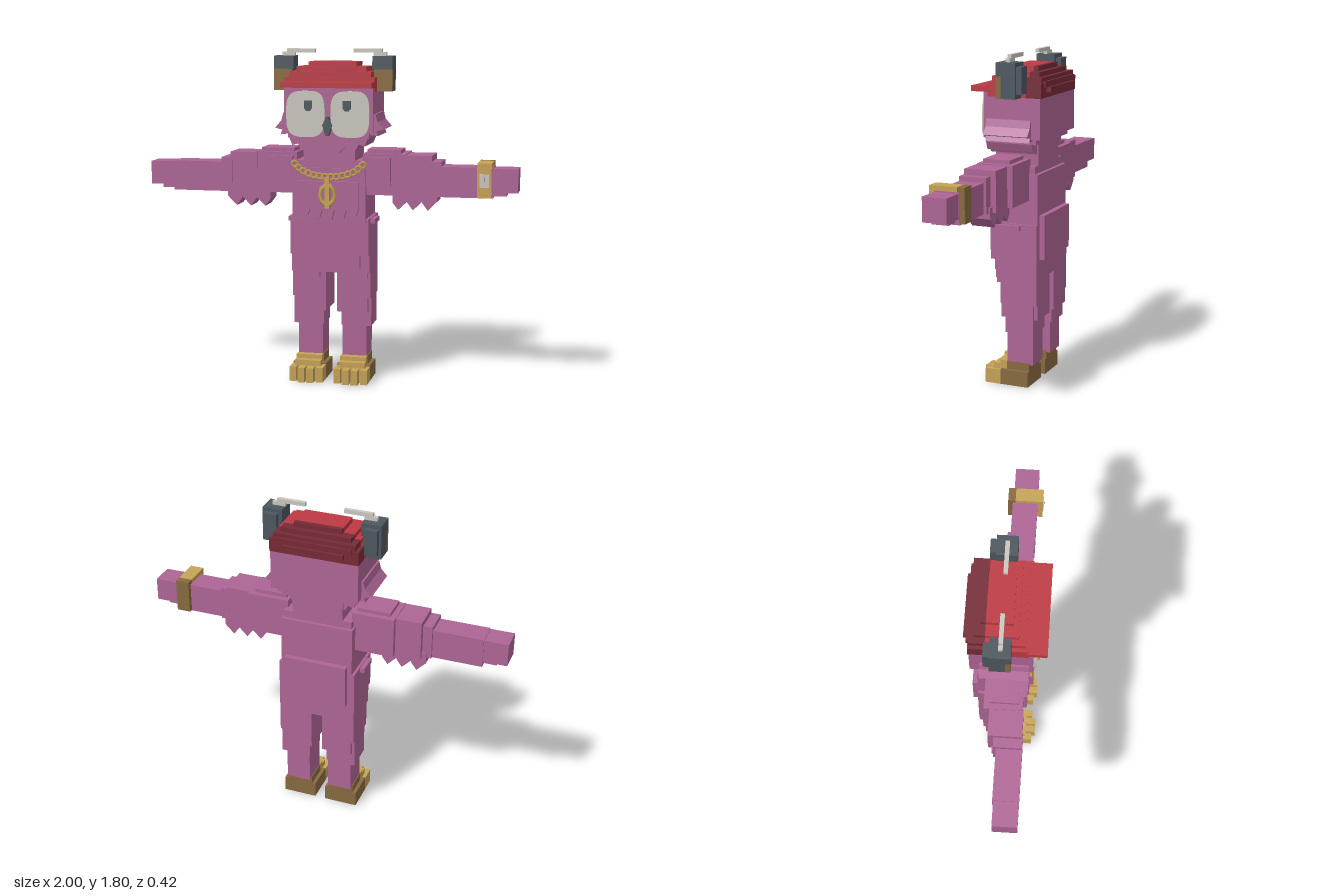
import * as THREE from 'three';

const mat = (name, color) => {
  const m = new THREE.MeshStandardMaterial({ color });
  m.name = name;
  return m;
};

export function createModel() {
  const root = new THREE.Group();
  root.name = 'owlFigure';
  const plum = mat('plum feathers', 0xae6595);
  const red = mat('cap red', 0xbd3943);
  const darkRed = mat('cap dark red', 0x762b37);
  const gold = mat('gold', 0xc6a356);
  const brown = mat('brown', 0x886a40);
  const slate = mat('slate', 0x4d575f);
  const ivory = mat('ivory', 0xcbc7be);

  const group = (name) => {
    const g = new THREE.Group();
    g.name = name;
    root.add(g);
    return g;
  };
  const add = (parent, name, geo, material) => {
    const m = new THREE.Mesh(geo, material);
    m.name = name;
    parent.add(m);
    return m;
  };
  // box given by its limits on each axis
  const box = (parent, name, material, x0, x1, y0, y1, z0, z1) => {
    const a = Math.min(x0, x1), b = Math.max(x0, x1);
    const m = add(parent, name, new THREE.BoxGeometry(b - a, y1 - y0, z1 - z0), material);
    m.position.set((a + b) / 2, (y0 + y1) / 2, (z0 + z1) / 2);
    return m;
  };
  // flat outline in x and y, extruded from z0 to z1
  const plate = (parent, name, material, pts, z0, z1) => {
    const shape = new THREE.Shape(pts.map(([x, y]) => new THREE.Vector2(x, y)));
    const geo = new THREE.ExtrudeGeometry(shape, { depth: z1 - z0, bevelEnabled: false });
    geo.translate(0, 0, z0);
    return add(parent, name, geo, material);
  };
  const mirrored = (pts) => [...pts, ...pts.map(([x, y]) => [-x, y]).reverse()];

  // torso in stepped blocks
  const body = group('body');
  box(body, 'chest', plum, -0.2, 0.2, 0.88, 1.17, -0.15, 0.125);
  box(body, 'upperChest', plum, -0.19, 0.19, 1.1, 1.21, -0.13, 0.115);
  box(body, 'belly', plum, -0.215, 0.215, 0.7, 0.9, -0.15, 0.115);
  box(body, 'lowerBelly', plum, -0.165, 0.165, 0.63, 0.72, -0.14, 0.113);
  box(body, 'hips', plum, -0.215, 0.215, 0.6, 0.72, -0.15, 0.085);
  box(body, 'backPlate', plum, -0.175, 0.175, 0.71, 0.95, -0.18, -0.14);
  box(body, 'neck', plum, -0.14, 0.14, 1.15, 1.36, -0.13, 0.115);
  for (const s of [-1, 1]) box(body, 'hipTuft', plum, 0.19 * s, 0.24 * s, 0.87, 0.895, -0.06, 0.06);

  // chest feathers with a scalloped hem
  const hem = [[0.165, 1.1], [-0.165, 1.1]];
  for (let i = 0; i < 5; i++) {
    const c = -0.132 + i * 0.066, low = 0.88 + Math.abs(i - 2) * 0.012;
    hem.push([c - 0.033, 0.95], [c - 0.02, low + 0.015], [c, low], [c + 0.02, low + 0.015]);
  }
  hem.push([0.165, 0.95]);
  plate(body, 'chestFeathers', plum, hem, 0.12, 0.145);

  // legs and feet
  for (const s of [-1, 1]) {
    const leg = group(s > 0 ? 'leftLeg' : 'rightLeg');
    box(leg, 'thigh', plum, 0.03 * s, 0.215 * s, 0.46, 0.7, -0.15, 0.06);
    box(leg, 'thighFront', plum, 0.06 * s, 0.2 * s, 0.57, 0.66, 0, 0.085);
    box(leg, 'knee', plum, 0.03 * s, 0.2 * s, 0.38, 0.47, -0.15, 0.06);
    box(leg, 'calf', plum, 0.05 * s, 0.215 * s, 0.3, 0.46, -0.13, 0.03);
    box(leg, 'shin', plum, 0.055 * s, 0.19 * s, 0.12, 0.4, -0.12, 0.03);
    box(leg, 'heel', brown, 0.03 * s, 0.215 * s, 0, 0.085, -0.1, 0.06);
    box(leg, 'ankle', brown, 0.05 * s, 0.195 * s, 0.08, 0.13, -0.1, 0.03);
    box(leg, 'ankleFront', gold, 0.05 * s, 0.195 * s, 0.08, 0.132, 0.03, 0.07);
    box(leg, 'instep', gold, 0.05 * s, 0.195 * s, 0.05, 0.11, 0.06, 0.11);
    box(leg, 'footFront', gold, 0.03 * s, 0.215 * s, 0, 0.08, 0.06, 0.115);
    for (let i = 0; i < 4; i++) {
      const x = 0.03 + i * 0.049;
      box(leg, 'toe', gold, x * s, (x + 0.038) * s, 0, 0.08, 0.11, i === 1 || i === 2 ? 0.17 : 0.15);
    }
  }

  // arms: [x0, x1, y0, y1, z0, z1] per block, held straight out
  const armBlocks = [
    [0.18, 0.41, 1.03, 1.25, -0.1, 0.1], [0.2, 0.38, 1.06, 1.27, -0.07, 0.08],
    [0.4, 0.55, 1.03, 1.245, -0.07, 0.105], [0.54, 0.6, 1.03, 1.215, -0.04, 0.11],
    [0.59, 0.87, 1.03, 1.19, -0.025, 0.11], [0.86, 1, 1.06, 1.185, -0.02, 0.11],
    [0.87, 0.94, 1.04, 1.17, 0, 0.09], [0.2, 0.33, 1.08, 1.23, 0.09, 0.12],
  ];
  for (const s of [-1, 1]) {
    const arm = group(s > 0 ? 'leftArm' : 'rightArm');
    armBlocks.forEach((b) => box(arm, 'armBlock', plum, b[0] * s, b[1] * s, ...b.slice(2)));
    // hanging wing feathers
    for (let i = 0; i < 3; i++) {
      const x = 0.335 + i * 0.08;
      const pts = [[x, 1.06], [x, 0.99], [x + 0.03, 0.95], [x + 0.08, 1.0], [x + 0.08, 1.06]];
      plate(arm, 'wingFeather', plum, pts.map(([a, b]) => [a * s, b]), -0.05, 0.075);
    }
  }

  // wristband on the left arm
  const watch = group('watch');
  box(watch, 'bandFront', gold, 0.79, 0.865, 1.035, 1.215, -0.01, 0.14);
  box(watch, 'bandBack', brown, 0.79, 0.865, 1.035, 1.215, -0.05, -0.01);
  box(watch, 'dial', ivory, 0.803, 0.852, 1.09, 1.16, 0.138, 0.144);
  box(watch, 'hand', slate, 0.826, 0.83, 1.12, 1.145, 0.143, 0.146);

  // head with cheek tufts and a jagged beard
  const head = group('head');
  box(head, 'skull', plum, -0.24, 0.24, 1.36, 1.61, -0.18, 0.14);
  box(head, 'jaw', plum, -0.22, 0.22, 1.33, 1.37, -0.15, 0.135);
  plate(head, 'beard', plum, mirrored([
    [0.22, 1.35], [0.195, 1.29], [0.165, 1.3], [0.15, 1.27], [0.09, 1.285], [0.06, 1.255],
  ]), -0.12, 0.14);
  for (const s of [-1, 1]) {
    const tuft = [[0.22, 1.35], [0.265, 1.345], [0.255, 1.37], [0.295, 1.38], [0.26, 1.42], [0.25, 1.46], [0.22, 1.46]];
    plate(head, 'cheekTuft', plum, tuft.map(([x, y]) => [x * s, y]), -0.13, 0.12);
    // rounded eyes, squared off like a superellipse
    const eye = [];
    for (let i = 0; i < 32; i++) {
      const a = (i / 32) * Math.PI * 2, c = Math.cos(a), d = Math.sin(a);
      eye.push([s * 0.12 + 0.104 * Math.sign(c) * Math.abs(c) ** 0.6, 1.458 + 0.122 * Math.sign(d) * Math.abs(d) ** 0.6]);
    }
    plate(head, 'eye', ivory, eye, 0.135, 0.158);
    const px = s * 0.104, w = 0.022;
    plate(head, 'pupil', slate, [
      [px - w, 1.49], [px - 0.01, 1.475], [px + 0.01, 1.475], [px + w, 1.49], [px + w, 1.53], [px - w, 1.53],
    ], 0.157, 0.164);
  }
  plate(head, 'beak', slate, mirrored([[0.006, 1.445], [0.026, 1.4], [0.008, 1.345]]), 0.13, 0.17);

  // cap tiers: half width, bottom, top, back, front
  const cap = group('cap');
  [
    [0.242, 1.575, 1.65, -0.185, 0.115], [0.222, 1.65, 1.68, -0.18, 0.1],
    [0.19, 1.68, 1.705, -0.155, 0.065], [0.13, 1.705, 1.73, -0.125, 0.035],
  ].forEach(([w, y0, y1, z0, z1]) => {
    box(cap, 'tierFront', red, -w, w, y0, y1, -0.1, z1);
    box(cap, 'tierBack', darkRed, -w, w, y0, y1, z0, -0.1);
  });
  box(cap, 'brim', red, -0.245, 0.245, 1.598, 1.628, 0.1, 0.208);
  box(cap, 'capBack', darkRed, -0.165, 0.165, 1.6, 1.63, -0.21, -0.18);
  box(cap, 'capBackUpper', darkRed, -0.205, 0.205, 1.63, 1.66, -0.195, -0.17);

  // ear pieces with bent bars on top
  for (const s of [-1, 1]) {
    const ear = group(s > 0 ? 'leftEar' : 'rightEar');
    box(ear, 'earCup', slate, 0.225 * s, 0.323 * s, 1.575, 1.69, -0.075, 0.005);
    box(ear, 'earCupBack', slate, 0.235 * s, 0.31 * s, 1.6, 1.74, -0.105, -0.07);
    box(ear, 'earCushion', brown, 0.225 * s, 0.323 * s, 1.575, 1.69, 0.005, 0.033);
    box(ear, 'earTop', slate, 0.215 * s, 0.323 * s, 1.69, 1.76, -0.075, 0.033);
    box(ear, 'bar', ivory, 0.105 * s, 0.26 * s, 1.777, 1.798, -0.03, -0.008);
    box(ear, 'barFoot', ivory, 0.215 * s, 0.285 * s, 1.757, 1.78, -0.03, -0.008);
  }

  // necklace: a sagging row of links with a plain pendant
  const necklace = group('necklace');
  const curve = new THREE.CatmullRomCurve3([
    [-0.195, 1.2, 0.13], [-0.14, 1.155, 0.138], [-0.06, 1.13, 0.142],
    [0.06, 1.13, 0.142], [0.14, 1.155, 0.138], [0.195, 1.2, 0.13],
  ].map((p) => new THREE.Vector3(...p)));
  for (let i = 0; i < 14; i++) {
    const t = (i + 0.5) / 14, dir = curve.getTangentAt(t);
    const link = add(necklace, 'link', new THREE.TorusGeometry(0.015, 0.006, 4, 8), gold);
    link.position.copy(curve.getPointAt(t));
    link.rotation.z = Math.atan2(dir.y, dir.x);
    link.scale.set(1.25, 1, i % 2 ? 1 : 1.5);
  }
  const ring = add(necklace, 'pendantRing', new THREE.TorusGeometry(0.04, 0.011, 4, 10), gold);
  ring.position.set(0, 1.03, 0.163);
  ring.scale.y = 1.3;
  box(necklace, 'pendantBar', gold, -0.011, 0.011, 0.96, 1.125, 0.15, 0.175);

  return root;
}
